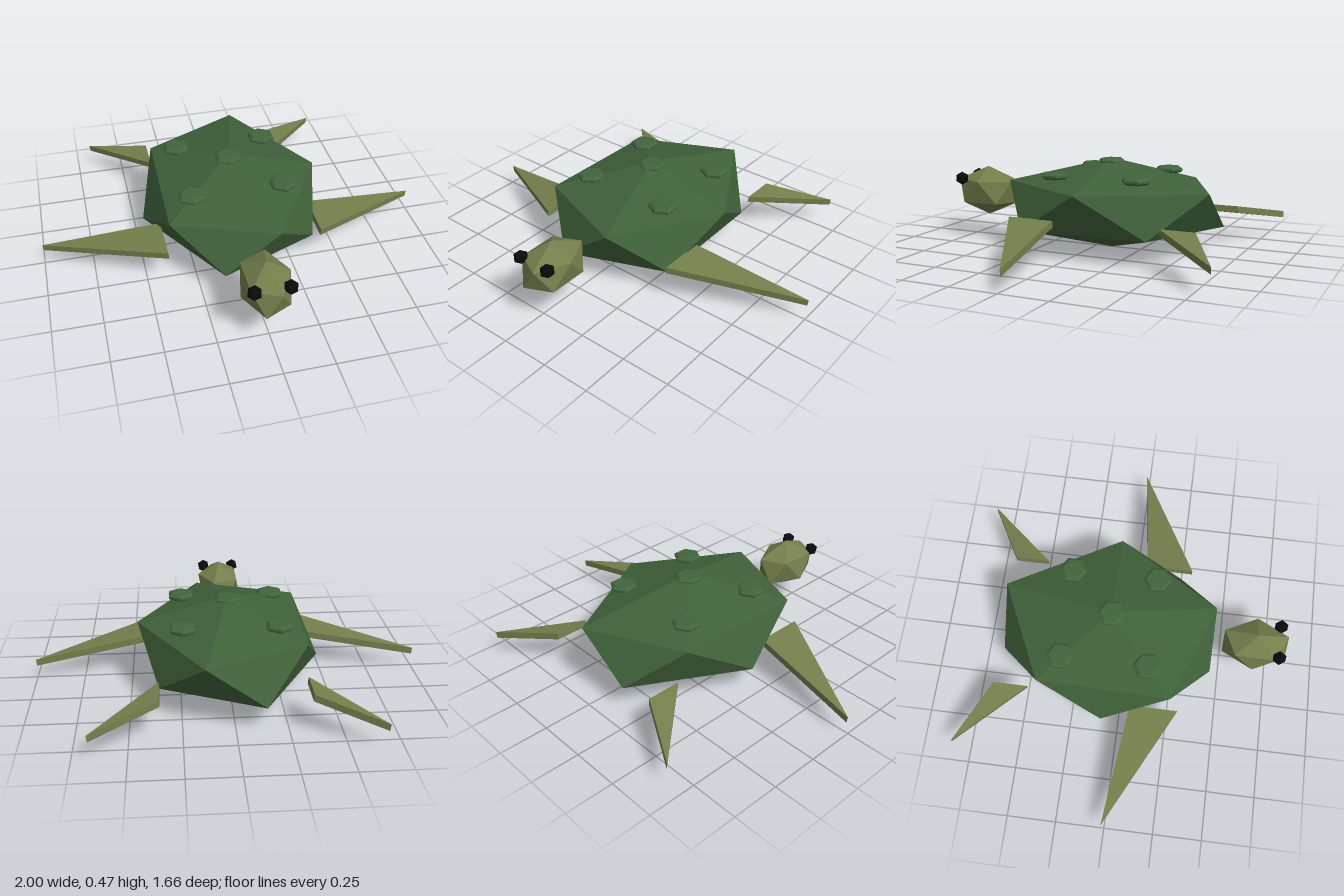
import * as THREE from 'three';
import { ConvexGeometry } from 'three/addons/geometries/ConvexGeometry.js';

const V = (x, y, z) => new THREE.Vector3(x, y, z);

// Twelve-point faceted blob with poles up and two rings of five
function facetedBlob(rx, ry, rz) {
  const pts = [V(0, ry, 0), V(0, -ry, 0)];
  for (let i = 0; i < 5; i++) {
    const a = (i / 5) * Math.PI * 2;
    const x = Math.cos(a) * 0.8944 * rx, z = Math.sin(a) * 0.8944 * rz;
    pts.push(V(x, 0.4472 * ry, z), V(-x, -0.4472 * ry, z));
  }
  return new ConvexGeometry(pts);
}

// Triangular slab from three top corners
function flipperGeometry(corners, side, thickness) {
  const pts = [];
  for (const [x, y, z] of corners) {
    pts.push(V(side * x, y, z), V(side * (x - 0.004), y - thickness, z));
  }
  return new ConvexGeometry(pts);
}

export function createModel() {
  const group = new THREE.Group();
  const material = (name, color) => {
    const m = new THREE.MeshStandardMaterial({ color, flatShading: true });
    m.name = name;
    return m;
  };
  const shellGreen = material('shell green', 0x40613a);
  const scuteGreen = material('scute green', 0x43643d);
  const skinOlive = material('skin olive', 0x747f4c);
  const eyeBlack = material('eye black', 0x0a0a0a);

  const add = (name, geometry, mat, x = 0, y = 0, z = 0) => {
    const mesh = new THREE.Mesh(geometry, mat);
    mesh.name = name;
    mesh.position.set(x, y, z);
    group.add(mesh);
  };

  // Shell: top and bottom points with two staggered rings
  const upper = [[0.14, -0.655], [-0.36, -0.422], [-0.374, 0.257], [0.139, 0.446], [0.46, -0.086]];
  const lower = [[-0.144, -0.647], [-0.465, -0.088], [-0.139, 0.451], [0.369, 0.251], [0.358, -0.417]];
  add('shell', new ConvexGeometry([
    V(0, 0.472, -0.085), V(0, 0.002, -0.085),
    ...upper.map(([x, z]) => V(x, 0.34, z)),
    ...lower.map(([x, z]) => V(x, 0.13, z)),
  ]), shellGreen);

  // Hexagonal scutes with bevelled rims
  const scute = new THREE.LatheGeometry(
    [[0, -0.016], [0.056, -0.016], [0.072, -0.006], [0.072, 0.006], [0.056, 0.016], [0, 0.016]]
      .map(([r, y]) => new THREE.Vector2(r, y)), 6);
  add('centreScute', scute, scuteGreen, 0, 0.453, -0.085);
  for (const x of [-0.235, 0.235]) {
    for (const z of [-0.315, 0.125]) add('scute', scute, scuteGreen, x, 0.396, z);
  }

  // Head
  add('head', facetedBlob(0.134, 0.135, 0.194), skinOlive, 0, 0.25, 0.665);

  // Eyes and flippers on both sides
  const eye = facetedBlob(0.036, 0.036, 0.038);
  for (const [side, label] of [[1, 'left'], [-1, 'right']]) {
    add(label + 'Eye', eye, eyeBlack, side * 0.085, 0.32, 0.785);
    add(label + 'FrontFlipper', flipperGeometry(
      [[0.394, 0.2, 0.302], [0.394, 0.2, 0.057], [1, 0.109, -0.015]], side, 0.034), skinOlive);
    add(label + 'RearFlipper', flipperGeometry(
      [[0.358, 0.2, -0.482], [0.358, 0.2, -0.66], [0.675, 0.133, -0.834]], side, 0.034), skinOlive);
  }
  return group;
}
